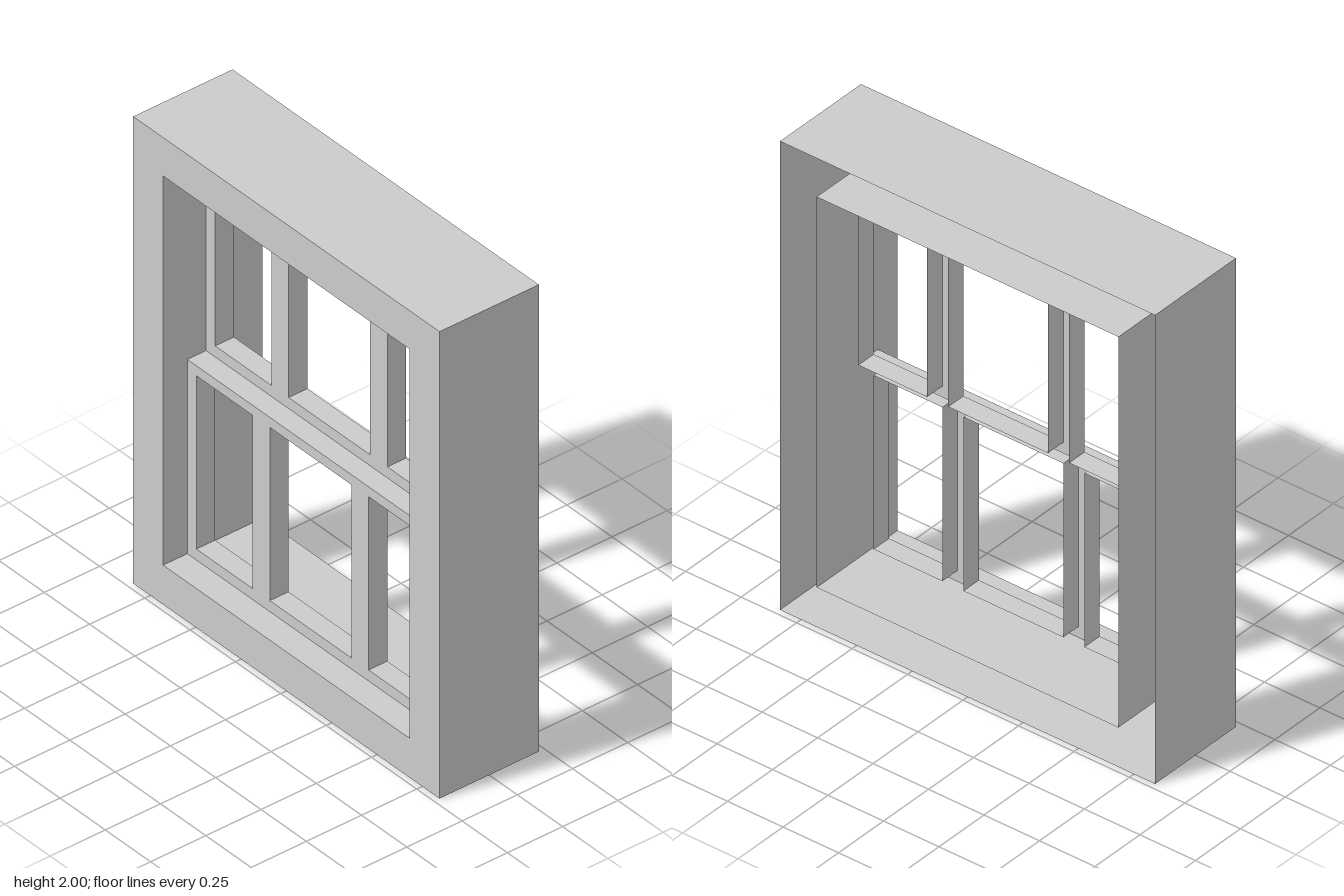
import * as THREE from 'three';

const material = new THREE.MeshStandardMaterial({ color: 0xcccccc, side: THREE.DoubleSide });

// Corners of a rectangle, counter-clockwise
const rect = (x0, x1, y0, y1) => [[x0, y0], [x1, y0], [x1, y1], [x0, y1]].map(([x, y]) => new THREE.Vector2(x, y));

// Thin walls running back from every edge of a loop
function wallGeometry(loop, zFront, zBack) {
  const positions = [];
  loop.forEach((a, i) => {
    const b = loop[(i + 1) % loop.length];
    positions.push(a.x, a.y, zBack, b.x, b.y, zBack, b.x, b.y, zFront);
    positions.push(a.x, a.y, zBack, b.x, b.y, zFront, a.x, a.y, zFront);
  });
  const geometry = new THREE.BufferGeometry();
  geometry.setAttribute('position', new THREE.Float32BufferAttribute(positions, 3));
  geometry.computeVertexNormals();
  return geometry;
}

function addMesh(group, name, geometry) {
  const mesh = new THREE.Mesh(geometry, material);
  mesh.name = name;
  group.add(mesh);
  return mesh;
}

// Front plate with rectangular openings, each lined by walls; the back stays open
function openBackPanel(name, outer, holes, zFront, zBack) {
  const group = new THREE.Group();
  group.name = name;
  const shape = new THREE.Shape(outer);
  holes.forEach((hole) => shape.holes.push(new THREE.Path(hole)));
  addMesh(group, name + 'Face', new THREE.ShapeGeometry(shape).translate(0, 0, zFront));
  holes.forEach((hole) => addMesh(group, name + 'Reveal', wallGeometry([...hole].reverse(), zFront, zBack)));
  return group;
}

// Three panes separated by two mullions
const panes = (y0, y1) => [[-0.63, -0.32], [-0.225, 0.225], [0.32, 0.63]].map(([x0, x1]) => rect(x0, x1, y0, y1));

export function createModel() {
  const model = new THREE.Group();
  model.name = 'sashWindow';

  // Deep outer frame
  const outer = rect(-0.845, 0.845, 0, 2);
  const frame = openBackPanel('frame', outer, [rect(-0.68, 0.68, 0.168, 1.835)], 0.225, -0.225);
  addMesh(frame, 'frameOuterWalls', wallGeometry(outer, 0.225, -0.225));
  model.add(frame);

  // Lower sash in front, with a ledge on its top rail
  const lower = openBackPanel('lowerSash', rect(-0.68, 0.68, 0.168, 1), panes(0.215, 0.957), 0.115, 0.03);
  const ledge = new THREE.PlaneGeometry(1.36, 0.085).rotateX(-Math.PI / 2).translate(0, 1, 0.0725);
  addMesh(lower, 'lowerSashLedge', ledge);
  model.add(lower);

  // Upper sash behind it
  model.add(openBackPanel('upperSash', rect(-0.68, 0.68, 1, 1.835), panes(1.047, 1.788), 0.03, -0.055));

  return model;
}
